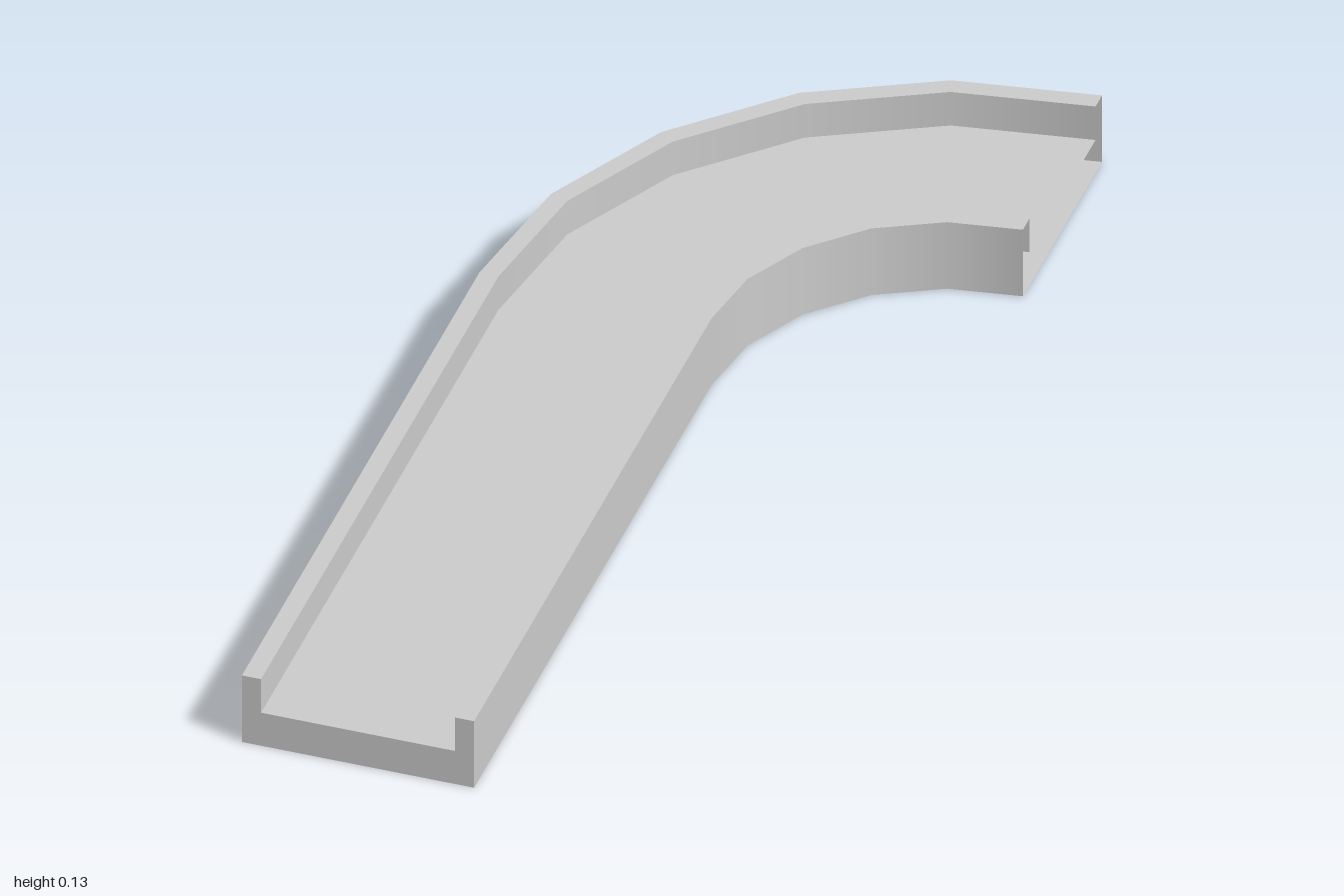
import * as THREE from 'three';

const WALL = 0.033, FLOOR = 0.066, HEIGHT = 0.133;
const R_IN = 0.4, R_OUT = 0.8, CENTRE_X = 0.4, CENTRE_Z = -0.2;

// Named edges of the U section, as [radius, height] pairs in order around it
const section = [
  ['underside', R_IN, 0],
  ['outerWallOutside', R_OUT, 0],
  ['outerWallTop', R_OUT, HEIGHT],
  ['outerWallInside', R_OUT - WALL, HEIGHT],
  ['channelFloor', R_OUT - WALL, FLOOR],
  ['innerWallInside', R_IN + WALL, FLOOR],
  ['innerWallTop', R_IN + WALL, HEIGHT],
  ['innerWallOutside', R_IN, HEIGHT],
];

// Stations along the path: straight start, then a quarter bend in five steps
const stations = [{ angle: 0, shift: 1 - CENTRE_Z }];
for (let i = 0; i <= 5; i++) stations.push({ angle: (i / 5) * Math.PI / 2, shift: 0 });

// Sweep one edge of the section along the path, smooth around the bend
function sweepEdge([, r0, y0], [, r1, y1]) {
  const positions = [], normals = [], index = [];
  const normal = new THREE.Vector2(y1 - y0, r0 - r1).normalize();
  stations.forEach(({ angle, shift }, i) => {
    const c = Math.cos(angle), s = Math.sin(angle);
    for (const [r, y] of [[r0, y0], [r1, y1]]) {
      positions.push(CENTRE_X - r * c, y, CENTRE_Z + shift - r * s);
      normals.push(-normal.x * c, normal.y, -normal.x * s);
    }
    if (i > 0) {
      const a = 2 * i - 2;
      index.push(a, a + 1, a + 2, a + 1, a + 3, a + 2);
    }
  });
  const geometry = new THREE.BufferGeometry();
  geometry.setAttribute('position', new THREE.Float32BufferAttribute(positions, 3));
  geometry.setAttribute('normal', new THREE.Float32BufferAttribute(normals, 3));
  geometry.setIndex(index);
  return geometry;
}

export function createModel() {
  const group = new THREE.Group();
  group.name = 'curvedChannel';
  const material = new THREE.MeshStandardMaterial({ color: 0xcccccc, side: THREE.DoubleSide });
  const add = (name, geometry) => {
    const mesh = new THREE.Mesh(geometry, material);
    mesh.name = name;
    group.add(mesh);
    return mesh;
  };

  // Walls, floor and underside; the end of the bend stays open
  section.forEach((edge, i) => add(edge[0], sweepEdge(edge, section[(i + 1) % section.length])));

  // U-shaped cap closing the straight end
  const outline = new THREE.Shape(section.map(([, r, y]) => new THREE.Vector2(CENTRE_X - r, y)));
  add('frontCap', new THREE.ShapeGeometry(outline)).position.z = 1;

  return group;
}
